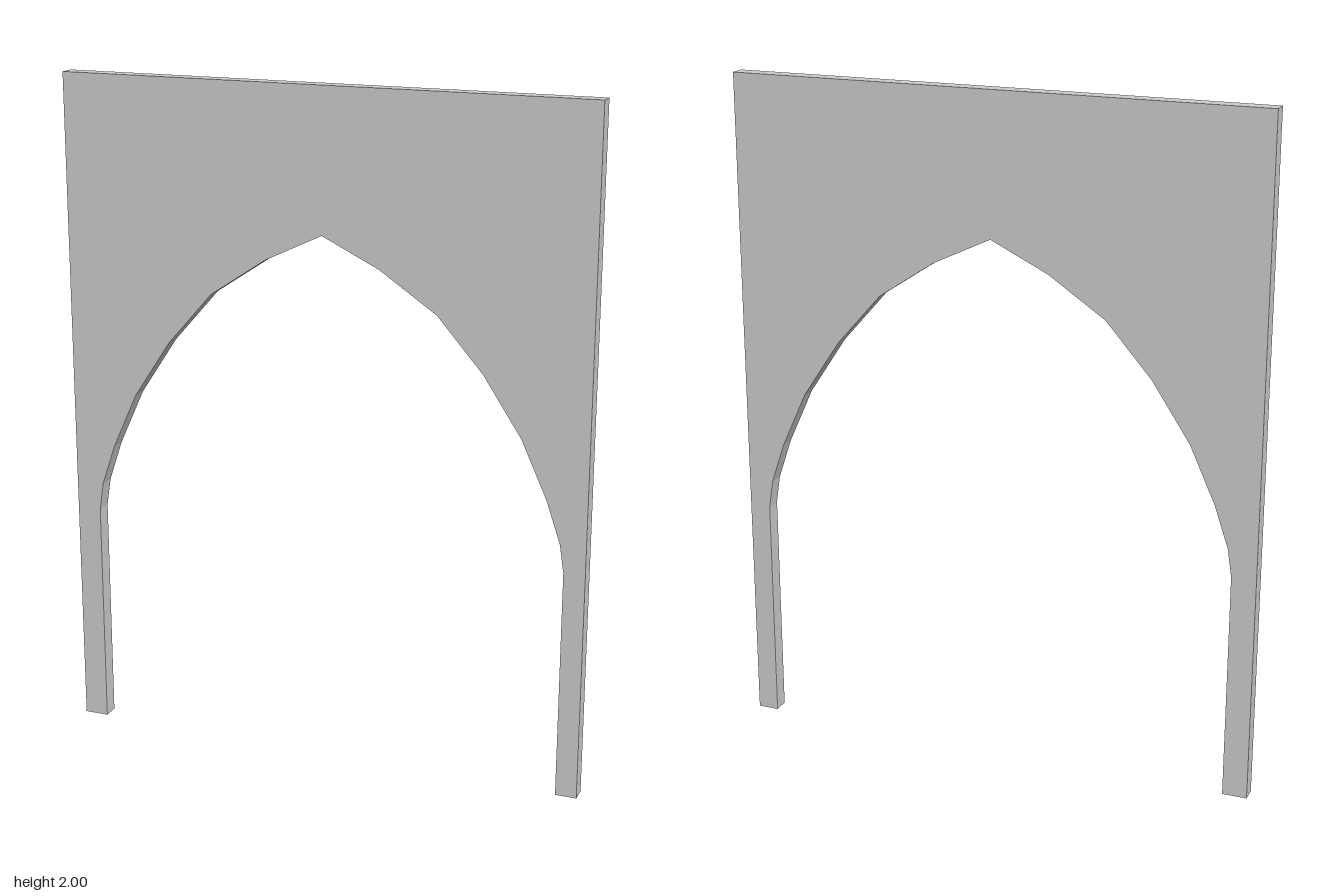
import * as THREE from 'three';

const HALF_WIDTH = 0.793;
const HEIGHT = 2;
const DEPTH = 0.048;
const ARCH_X = 0.005; // the opening sits slightly off centre

// Half of the pointed arch, from the floor up: distance from its axis, height
const HALF_ARCH = [
  [0.725, 0], [0.725, 0.683], [0.712, 0.767], [0.67, 0.89], [0.593, 1.058],
  [0.479, 1.23], [0.342, 1.386], [0.172, 1.5],
];
const APEX = [0, 1.583];

export function createModel() {
  const group = new THREE.Group();
  group.name = 'pointedArchway';

  // Wall outline: outer rectangle, then down and up around the mirrored arch
  const left = HALF_ARCH.map(([x, y]) => [-x, y]);
  const arch = [...left, APEX, ...[...HALF_ARCH].reverse()];
  const outline = [
    [HALF_WIDTH, 0], [HALF_WIDTH, HEIGHT], [-HALF_WIDTH, HEIGHT], [-HALF_WIDTH, 0],
    ...arch.map(([x, y]) => [x + ARCH_X, y]),
  ];
  const shape = new THREE.Shape(outline.map(([x, y]) => new THREE.Vector2(x, y)));

  const geometry = new THREE.ExtrudeGeometry(shape, { depth: DEPTH, bevelEnabled: false });
  geometry.translate(0, 0, -DEPTH / 2);

  const wall = new THREE.Mesh(
    geometry,
    new THREE.MeshStandardMaterial({ color: 0xcccccc, flatShading: true }),
  );
  wall.name = 'archWall';
  group.add(wall);
  return group;
}
